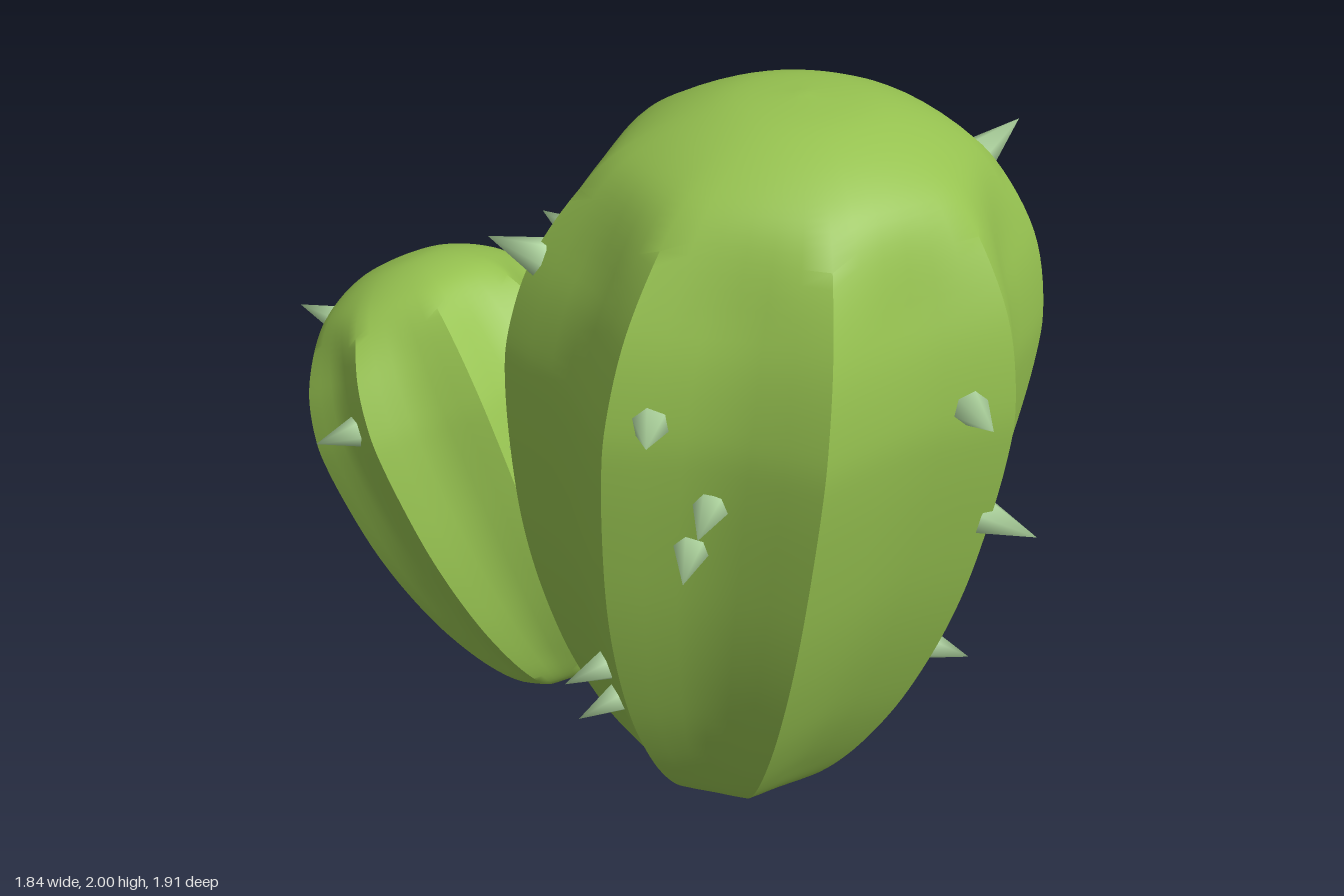
import * as THREE from 'three';
import { mergeVertices, toCreasedNormals } from 'three/addons/utils/BufferGeometryUtils.js';

const RIBS = 8, N = RIBS * 6, H = 2;
const green = new THREE.MeshStandardMaterial({ color: 0x96c250 });
const pale = new THREE.MeshStandardMaterial({ color: 0xb2d9a2 });

// Egg-shaped outline of a stem as (radius, height)
const outline = new THREE.SplineCurve([
  [0, 0], [0.14, 0.01], [0.24, 0.06], [0.35, 0.2], [0.455, 0.4], [0.53, 0.6], [0.585, 0.8],
  [0.62, 1], [0.645, 1.25], [0.64, 1.42], [0.585, 1.62], [0.465, 1.81], [0.345, 1.91], [0.18, 1.98], [0, 2],
].map(([r, y]) => new THREE.Vector2(r, y))).getPoints(84);

// Pointed ridges with rounded valleys, fading out at the crown and foot
function ribScale(angle, y, phase) {
  const fade = (1 - THREE.MathUtils.smoothstep(y, 1.62, 2)) * THREE.MathUtils.smoothstep(y, -0.15, 0.22);
  return 1 - 0.135 * fade * Math.abs(Math.sin((angle - phase) * RIBS / 2));
}

function surfacePoint(i, angle, phase, lean) {
  const { x: r, y } = outline[i];
  const s = r * ribScale(angle, y, phase);
  return new THREE.Vector3(s * Math.sin(angle) + lean[0] * y, y, s * Math.cos(angle) + lean[1] * y);
}

function surfaceNormal(i, angle, phase, lean) {
  const across = surfacePoint(i, angle + 0.04, phase, lean).sub(surfacePoint(i, angle - 0.04, phase, lean));
  const along = surfacePoint(i + 1, angle, phase, lean).sub(surfacePoint(i - 1, angle, phase, lean));
  return across.cross(along).normalize();
}

function stemGeometry(phase, lean) {
  const pos = [], index = [], last = outline.length - 1;
  for (let i = 0; i <= last; i++)
    for (let j = 0; j < N; j++)
      pos.push(...surfacePoint(i, phase + j / N * Math.PI * 2, phase, lean));
  for (let i = 0; i < last; i++)
    for (let j = 0; j < N; j++) {
      const a = i * N + j, b = i * N + (j + 1) % N, c = a + N, d = b + N;
      if (i > 0) index.push(a, b, d);
      if (i < last - 1) index.push(a, d, c);
    }
  const g = new THREE.BufferGeometry();
  g.setAttribute('position', new THREE.Float32BufferAttribute(pos, 3));
  g.setIndex(index);
  return toCreasedNormals(g, 0.65);
}

// Six-sided spine, shaded smoothly all over so that its tip catches the light
function spineGeometry() {
  const cone = new THREE.ConeGeometry(0.047, 0.13, 6);
  cone.deleteAttribute('uv');
  cone.deleteAttribute('normal');
  const g = mergeVertices(cone);
  g.computeVertexNormals();
  return g;
}

// A ribbed stem with spines at [angle in degrees from the front, height]
function makeStem(name, phase, lean, spines, spineScale) {
  const stem = new THREE.Group();
  stem.name = name;
  const body = new THREE.Mesh(stemGeometry(phase, lean), green);
  body.name = name + 'Body';
  stem.add(body);
  const cone = spineGeometry();
  const up = new THREE.Vector3(0, 1, 0);
  for (const [deg, y] of spines) {
    const angle = THREE.MathUtils.degToRad(deg);
    const i = outline.findIndex(p => p.y >= y - 0.01);
    const normal = surfaceNormal(i, angle, phase, lean);
    const spine = new THREE.Mesh(cone, pale);
    spine.name = 'spine';
    spine.scale.setScalar(spineScale);
    spine.quaternion.setFromUnitVectors(up, normal);
    spine.position.copy(surfacePoint(i, angle, phase, lean)).addScaledVector(normal, 0.05 * spineScale);
    stem.add(spine);
  }
  return stem;
}

export function createModel() {
  const model = new THREE.Group();
  model.name = 'cactus';

  // Tall front stem
  const tall = makeStem('tallStem', 0, [0.045, 0.08], [
    [36, 1.42], [46, 1.05], [54, 0.6], [-37, 1.42], [-23, 1.19], [-27, 1.07], [-62, 0.53], [-63, 0.39],
    [97, 1.81], [-90, 1.63], [-105, 0.97], [-120, 0.9], [-135, 1.45], [-160, 0.6],
    [142, 1.64], [152, 1.64], [168, 1.56], [147, 1.08], [138, 0.6], [152, 0.55],
  ], 1);
  tall.position.set(0.2, 0, 0.2);
  model.add(tall);

  // Short stem leaning out behind it, spines at [angle, distance along the axis from its middle]
  const k = 0.645;
  const axis = new THREE.Vector3(-0.33, 0.884, -0.33).normalize();
  const short = makeStem('shortStem', THREE.MathUtils.degToRad(193), [0, 0], [
    [-47, 0.265], [-118, 0.54], [90, 0.1], [87, 0.02], [126, 0.1], [103, -0.24], [168, 0.31], [183, 0.07],
  ].map(([a, d]) => [a, d / k + H / 2]), 1 / k);
  short.scale.setScalar(k);
  short.quaternion.setFromUnitVectors(new THREE.Vector3(0, 1, 0), axis);
  short.position.set(-0.425, 0.607, -0.405).addScaledVector(axis, -k * H / 2);
  model.add(short);

  return model;
}
